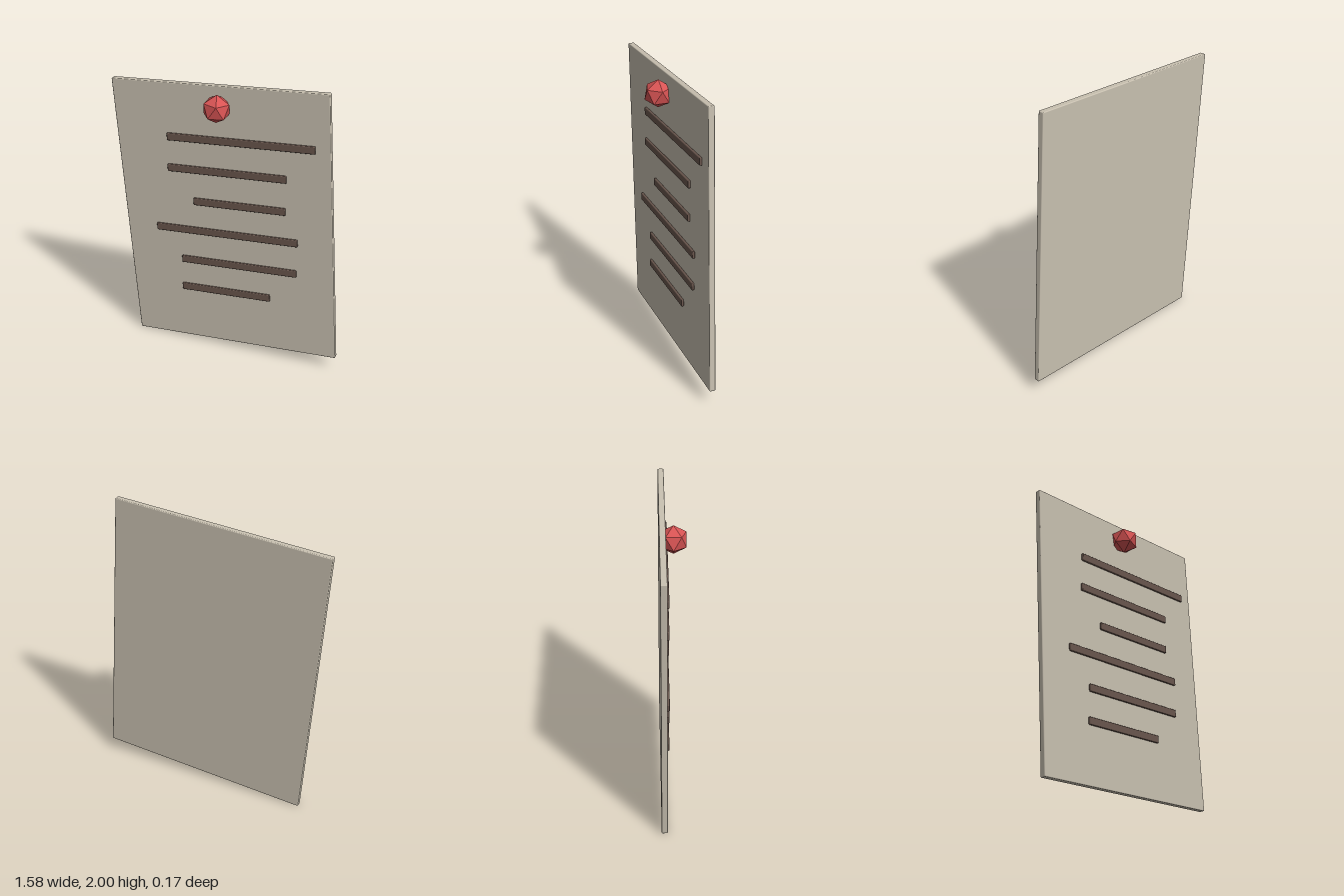
import * as THREE from 'three';
import { RoundedBoxGeometry } from 'three/addons/geometries/RoundedBoxGeometry.js';

const TILT = 0.07;

export function createModel() {
  const model = new THREE.Group();
  model.name = 'pinnedNote';

  const paper = new THREE.MeshStandardMaterial({ color: 0xc8c0b0 });
  paper.name = 'paper';
  const ink = new THREE.MeshStandardMaterial({ color: 0x69564d });
  ink.name = 'ink brown';
  const red = new THREE.MeshStandardMaterial({ color: 0xd85454, flatShading: true });
  red.name = 'pin red';

  const add = (name, geometry, material, x, y, z, roll) => {
    const mesh = new THREE.Mesh(geometry, material);
    mesh.name = name;
    mesh.position.set(x, y, z);
    mesh.rotation.z = roll;
    model.add(mesh);
  };

  // Tilted sheet with slightly softened edges
  add('sheet', new RoundedBoxGeometry(1.45, 1.905, 0.04, 2, 0.006), paper, 0, 1, -0.065, TILT);

  // Raised lines of writing: centre x, centre y, length
  [
    [0.09, 1.593, 0.995],
    [0, 1.365, 0.815],
    [0.09, 1.14, 0.635],
    [0, 0.912, 0.995],
    [0.09, 0.686, 0.815],
    [0, 0.459, 0.635],
  ].forEach(([x, y, length], i) =>
    add(`line${i + 1}`, new RoundedBoxGeometry(length, 0.051, 0.018, 2, 0.006), ink, x, y, -0.036, TILT));

  // Faceted pin head, one corner pointing up
  add('pinHead', new THREE.IcosahedronGeometry(0.094, 0), red, -0.048, 1.82, 0.004, -0.59);

  return model;
}
